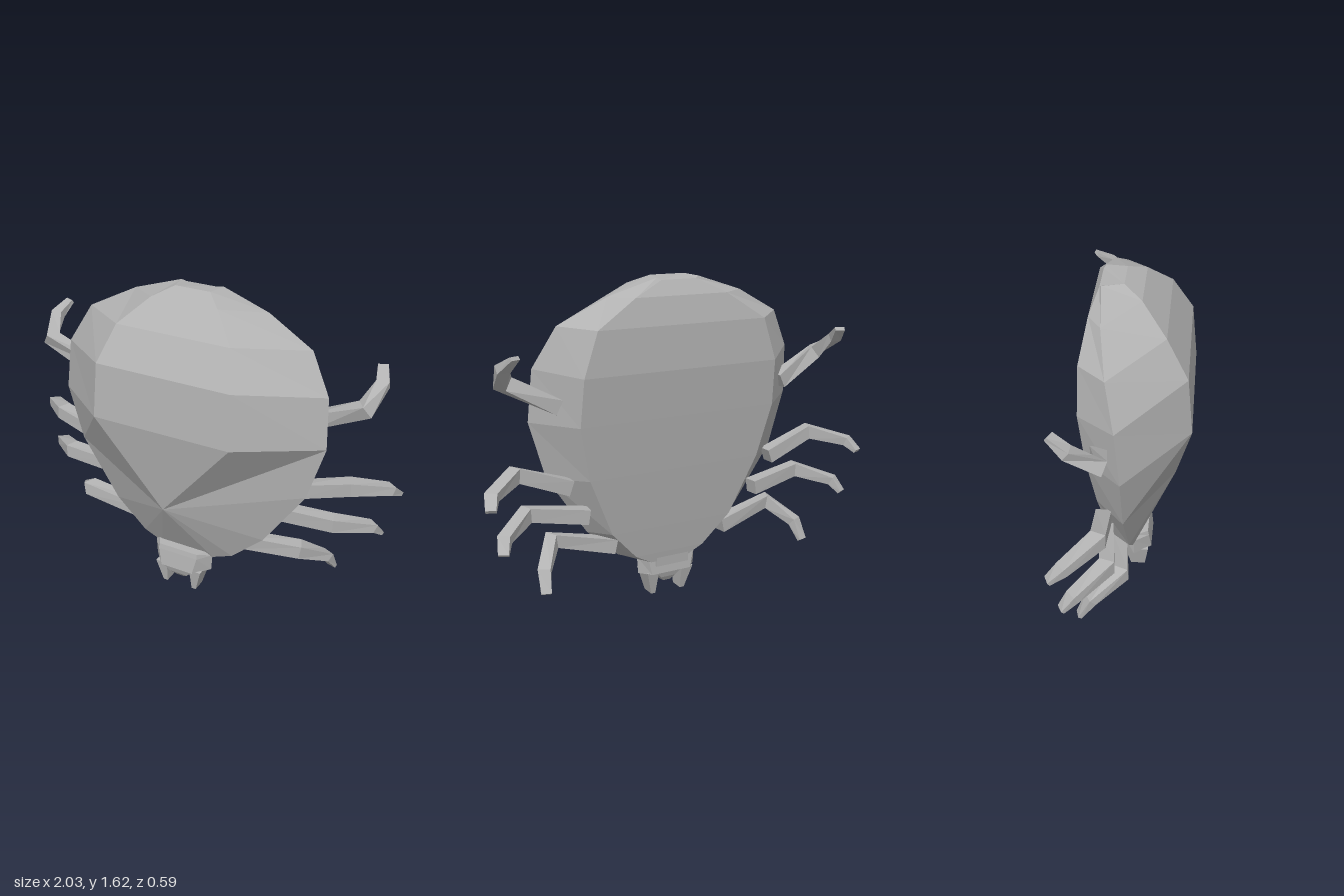
import * as THREE from 'three';

const grey = new THREE.MeshStandardMaterial({ color: 0xb2b2b2, flatShading: true });
grey.name = 'grey';

// Flat-sided mesh from a list of polygons, each a convex loop of [x, y, z] corners
function polyMesh(name, polys) {
  const pos = [];
  for (const p of polys)
    for (let i = 1; i < p.length - 1; i++) pos.push(...p[0], ...p[i], ...p[i + 1]);
  const g = new THREE.BufferGeometry();
  g.setAttribute('position', new THREE.Float32BufferAttribute(pos, 3));
  g.computeVertexNormals();
  const m = new THREE.Mesh(g, grey);
  m.name = name;
  return m;
}

// Side faces between two rings
const band = (a, b, from = 0, to = a.length) => {
  const out = [];
  for (let i = from; i < to; i++) {
    const j = (i + 1) % a.length;
    out.push([a[i], b[i], b[j], a[j]]);
  }
  return out;
};

// Closed solid through a series of rings
function loft(name, rings) {
  const polys = [rings[0], [...rings[rings.length - 1]].reverse()];
  for (let i = 0; i < rings.length - 1; i++) polys.push(...band(rings[i], rings[i + 1]));
  return polyMesh(name, polys);
}

const mirror = ([x, y, z]) => [-x, y, z];

// Body: front panel edge, rim and back edge, from top to bottom
function body() {
  const front = [[0.09, 1.625, -0.03], [0.17, 1.585, 0.055], [0.29, 1.47, 0.17],
    [0.345, 1.3, 0.27], [0.355, 1.03, 0.295]];
  const rim = [[0.11, 1.62, -0.13], [0.35, 1.545, -0.11], [0.585, 1.425, -0.07],
    [0.69, 1.235, -0.025], [0.707, 0.985, 0], [0.625, 0.705, 0.005],
    [0.42, 0.4, 0.015], [0.255, 0.25, 0.02], [0.15, 0.21, 0.025]];
  const back = [[0.09, 1.61, -0.14], [0.24, 1.54, -0.175], [0.44, 1.41, -0.2],
    [0.51, 1.2, -0.2], [0.52, 0.97, -0.17], [0.46, 0.7, -0.13],
    [0.33, 0.4, -0.085], [0.19, 0.25, -0.06], [0.1, 0.2, -0.05]];
  const apex = [-0.03, 0.56, 0.22];
  const rings = rim.map((r, i) => {
    const f = front[Math.min(i, 4)];
    return [mirror(f), f, r, back[i], mirror(back[i]), mirror(r)];
  });
  const polys = [rings[0]];
  for (let i = 0; i < 8; i++)
    polys.push(...(i < 4 ? band(rings[i], rings[i + 1]) : band(rings[i], rings[i + 1], 2, 5)));
  // Lower front fans out from one low point
  const f = front[4], left = mirror(f);
  polys.push([apex, f, left], [apex, rim[4], f]);
  for (let i = 4; i < 8; i++) {
    polys.push([apex, rim[i + 1], rim[i]]);
    if (i > 4) polys.push([apex, mirror(rim[i]), mirror(rim[i + 1])]);
  }
  polys.push([left, mirror(rim[4]), mirror(rim[5])], [apex, left, mirror(rim[5])]);
  polys.push([apex, mirror(rim[8]), rim[8]]);
  polys.push([mirror(rim[8]), mirror(back[8]), back[8], rim[8]]);
  return polyMesh('body', polys);
}

// Leg: rectangular tube that narrows toward a thin claw
function leg(name, pts) {
  const half = [[0.036, 0.036], [0.036, 0.034], [0.03, 0.022], [0.024, 0.009]];
  const v = pts.map(p => new THREE.Vector3(...p));
  const up = new THREE.Vector3(0, 1, 0);
  const rings = v.map((p, i) => {
    const t = new THREE.Vector3();
    if (i > 0) t.add(p.clone().sub(v[i - 1]).normalize());
    if (i < v.length - 1) t.add(v[i + 1].clone().sub(p).normalize());
    t.normalize();
    const side = t.clone().cross(up).normalize();
    const top = side.clone().cross(t);
    const [w, h] = half[i];
    return [[-1, -1], [1, -1], [1, 1], [-1, 1]].map(([a, b]) =>
      p.clone().addScaledVector(side, a * w).addScaledVector(top, b * h).toArray());
  });
  return loft(name, rings);
}

// Horizontal rectangle and hexagon cross-sections
const rect = (x, y, w, z0, z1) => [[x - w, y, z1], [x + w, y, z1], [x + w, y, z0], [x - w, y, z0]];
const hex = (x, y, wf, wm, wb, zf, zm, zb) => [[x - wf, y, zf], [x + wf, y, zf], [x + wm, y, zm],
  [x + wb, y, zb], [x - wb, y, zb], [x - wm, y, zm]];

export function createModel() {
  const model = new THREE.Group();
  model.name = 'tick';
  model.add(body());

  // Head, neck and mouthparts
  const cx = -0.02;
  model.add(loft('neck', [rect(cx, 0.3, 0.09, -0.06, 0.03), rect(cx, 0.17, 0.09, -0.05, 0.03)]));
  model.add(loft('head', [
    hex(cx, 0.242, 0.11, 0.15, 0.12, 0.088, 0.02, -0.03),
    hex(cx, 0.215, 0.11, 0.166, 0.13, 0.093, 0.02, -0.035),
    hex(cx, 0.125, 0.09, 0.16, 0.11, 0.105, 0.02, -0.04)]));
  model.add(loft('snout', [
    hex(cx, 0.13, 0.09, 0.1, 0.08, 0.1, 0.03, -0.02),
    hex(cx, 0.085, 0.05, 0.06, 0.04, 0.085, 0.03, -0.005),
    hex(cx, 0.06, 0.02, 0.025, 0.02, 0.065, 0.03, 0.01)]));
  for (const s of [-1, 1])
    model.add(loft(s > 0 ? 'leftFang' : 'rightFang', [
      rect(cx + s * 0.098, 0.13, 0.032, -0.03, 0.09),
      rect(cx + s * 0.084, 0.005, 0.012, 0, 0.072)]));

  // Four mirrored pairs of legs
  const legs = [
    [[0.6, 1.07, -0.1], [0.845, 1.195, -0.075], [0.88, 1.28, -0.19], [0.85, 1.335, -0.265]],
    [[0.55, 0.68, -0.09], [0.81, 0.775, -0.085], [0.965, 0.735, -0.22], [0.99, 0.69, -0.28]],
    [[0.46, 0.525, -0.09], [0.75, 0.57, -0.055], [0.905, 0.52, -0.19], [0.93, 0.465, -0.24]],
    [[0.3, 0.33, -0.04], [0.61, 0.4, -0.005], [0.705, 0.31, -0.14], [0.72, 0.22, -0.195]],
  ];
  legs.forEach((p, i) => {
    model.add(leg('leftLeg' + (i + 1), p));
    model.add(leg('rightLeg' + (i + 1), p.map(mirror)));
  });
  return model;
}
